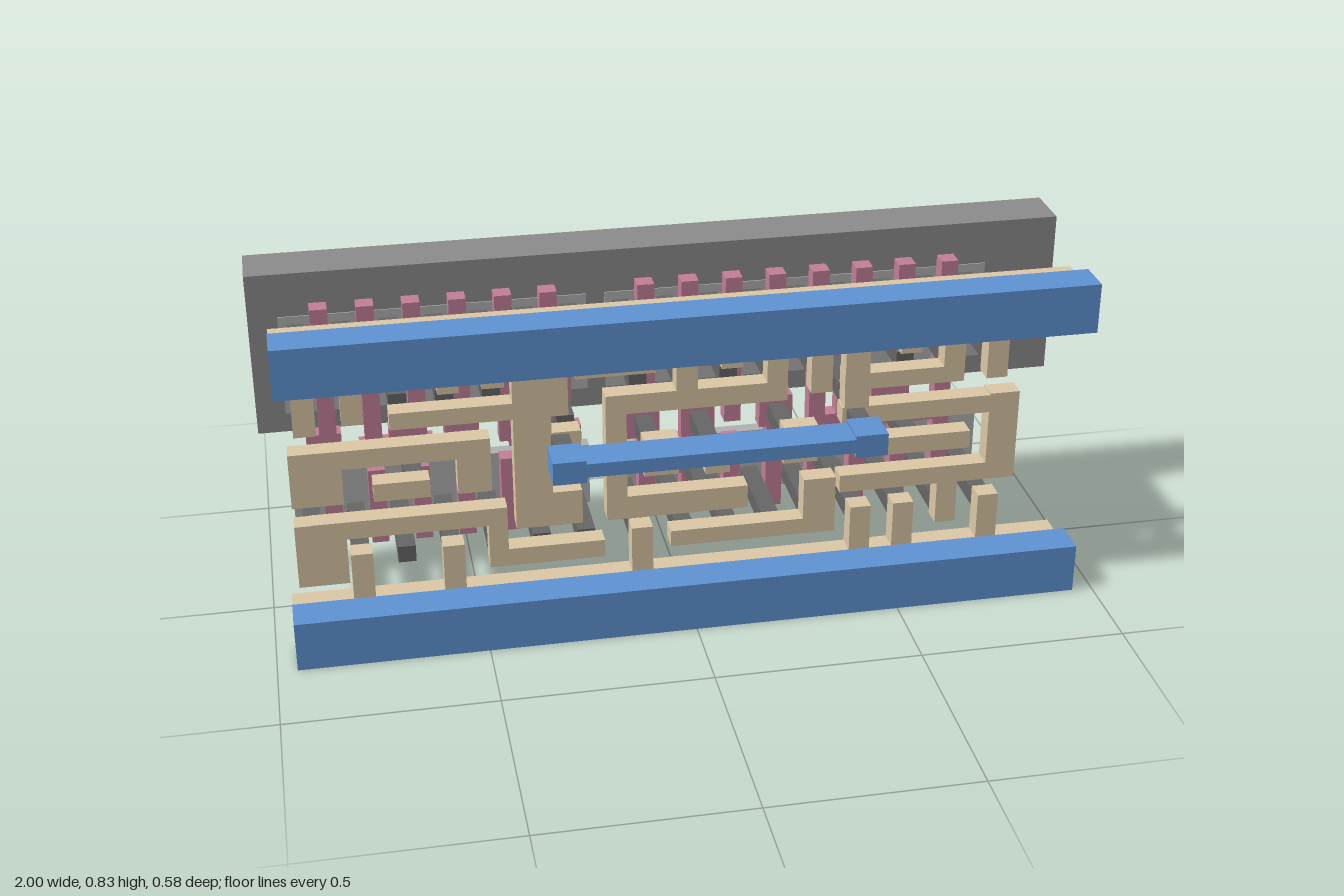
import * as THREE from 'three';

const mat = (color) => new THREE.MeshStandardMaterial({ color, flatShading: true });
const BLUE = mat(0x5f93d3), TAN = mat(0xdcc8a6), PINK = mat(0xc27f98);
const DARK = mat(0x666666), WELL = mat(0x8c8c8c), LIGHT = mat(0xb0b0b0);

const PITCH = 0.1092;
// Upright pink bars sit between neighbouring post columns, in two banks
const gateX = (i) => (i < 6 ? -0.834 + i * PITCH : -0.05 + (i - 6) * PITCH);
const columnX = (i) => (i < 7 ? -0.89 + i * PITCH : -0.105 + (i - 7) * PITCH);

export function createModel() {
  const model = new THREE.Group();

  // A named part whose bars all share one depth range
  function layer(name, material, z0, z1) {
    const group = new THREE.Group();
    group.name = name;
    model.add(group);
    const bars = [];
    const bar = (x0, x1, y0, y1) => {
      const mesh = new THREE.Mesh(new THREE.BoxGeometry(x1 - x0, y1 - y0, z1 - z0), material);
      mesh.position.set((x0 + x1) / 2, (y0 + y1) / 2, (z0 + z1) / 2);
      mesh.name = name + 'Bar';
      group.add(mesh);
      bars.push([x0, x1, y0, y1]);
    };
    const pad = (x, y, s = 0.043) => bar(x - s / 2, x + s / 2, y - s / 2, y + s / 2);
    // Right-angled track of width w: turns are alternately the next x and the next y
    const route = (w, x, y, ...turns) => turns.forEach((t, i) => {
      const nx = i % 2 ? x : t, ny = i % 2 ? t : y, h = w / 2;
      bar(Math.min(x, nx) - h, Math.max(x, nx) + h, Math.min(y, ny) - h, Math.max(y, ny) + h);
      x = nx;
      y = ny;
    });
    const covers = (px, py) => bars.some(([a, b, c, d]) => px > a && px < b && py > c && py < d);
    return { bar, pad, route, covers };
  }

  // Back slab and thin plates in front of and below it
  layer('backSlab', WELL, -0.288, -0.158).bar(-1, 1, 0.4, 0.815);
  const plates = layer('thinPlate', LIGHT, -0.19, -0.155);
  for (const [y0, y1] of [[0.125, 0.29], [0.45, 0.705]]) {
    plates.bar(-0.93, -0.19, y0, y1);
    plates.bar(-0.145, 0.82, y0, y1);
  }

  // Blue rails, the cross link and the short posts behind them
  const rails = layer('blueRail', BLUE, 0.197, 0.288);
  rails.bar(-0.953, 0.95, 0, 0.125);
  rails.bar(-0.953, 0.95, 0.705, 0.828);
  const link = layer('blueLink', BLUE, 0.197, 0.288);
  link.bar(-0.262, 0.38, 0.443, 0.478);
  const shortPosts = layer('shortPost', DARK, 0.133, 0.197);
  for (const x of [-0.3, 0.417]) {
    link.bar(x - 0.039, x + 0.039, 0.43, 0.487);
    shortPosts.pad(x, 0.459);
  }
  for (let i = 0; i < 16; i++)
    for (const y of [0.064, 0.765]) shortPosts.pad(-0.89 + i * 0.1185, y);

  // Tan rails with their stubs
  const tan = layer('tanTrack', TAN, 0.083, 0.133);
  for (const y of [0.063, 0.765]) tan.bar(-0.953, 0.95, y - 0.022, y + 0.022);
  const stubs = (columns, y0, y1) => columns.forEach((i) => tan.bar(columnX(i) - 0.026, columnX(i) + 0.026, y0, y1));
  stubs([0, 11, 15], 0.53, 0.76);
  stubs([4, 9, 13], 0.615, 0.76);
  stubs([1, 3, 7, 12, 13, 15], 0.06, 0.205);
  tan.bar(-0.26, -0.07, 0.62, 0.76);

  // Tan tracks, upper left
  tan.route(0.05, -0.78, 0.575, -0.78, 0.683, -0.557, 0.635);
  tan.route(0.042, -0.675, 0.55, -0.3, 0.68);
  tan.route(0.09, -0.365, 0.66, -0.365, 0.28, -0.295);
  tan.route(0.055, -0.365, 0.458, -0.278);
  // Tan tracks, upper right
  tan.route(0.05, -0.166, 0.27, -0.166, 0.543, 0.223, 0.68);
  stubs([8, 14], 0.53, 0.7);
  tan.route(0.042, 0.66, 0.55, 0.41);
  tan.route(0.06, 0.42, 0.67, 0.42, 0.46);
  // Tan brackets on the left, with wide feet
  tan.route(0.048, -0.91, 0.37, -0.91, 0.461, -0.49, 0.37);
  tan.route(0.12, -0.873, 0.405, -0.873, 0.425);
  tan.route(0.08, -0.505, 0.385, -0.505, 0.445);
  tan.route(0.046, -0.72, 0.367, -0.633);
  tan.route(0.046, -0.873, 0.273, -0.454, 0.158, -0.22);
  tan.route(0.12, -0.873, 0.19, -0.873, 0.235);
  // Tan hooks in the middle
  tan.route(0.06, -0.16, 0.265, 0.125);
  tan.route(0.042, -0.014, 0.166, 0.335);
  tan.route(0.08, 0.335, 0.185, 0.335, 0.255);
  for (const x of [-0.057, 0.285]) tan.route(0.085, x, 0.388, x, 0.398);
  tan.pad(0.08, 0.367, 0.06);
  // Tan bracket on the right
  tan.route(0.046, 0.408, 0.46, 0.79, 0.274, 0.408);
  tan.bar(0.755, 0.83, 0.252, 0.487);
  tan.route(0.046, 0.478, 0.367, 0.687);
  stubs([14], 0.14, 0.295);

  // Pink upright bars, some split at mid height, with cross pieces
  const pink = layer('pinkBar', PINK, -0.155, -0.111);
  for (let i = 0; i < 14; i++) {
    const spans = [1, 2, 4, 8].includes(i) ? [[0.092, 0.295], [0.345, 0.737]] : [[0.092, 0.737]];
    for (const [y0, y1] of spans) pink.bar(gateX(i) - 0.021, gateX(i) + 0.021, y0, y1);
  }
  pink.bar(0.38, 0.73, 0.3, 0.34);
  for (const x of [-0.67, -0.305]) pink.bar(x - 0.09, x + 0.09, 0.33, 0.37);

  // Long posts that end on pink pads
  const padPosts = layer('padPost', DARK, -0.111, 0.083);
  const padRows = [
    [0.363, [-0.845, -0.645, -0.51, -0.06, 0.08, 0.28, 0.48, 0.57]],
    [0.481, [-0.28, 0.42]],
    [0.252, [-0.28, 0.06, 0.39]],
  ];
  for (const [y, xs] of padRows) for (const x of xs) {
    pink.pad(x, y, 0.085);
    padPosts.pad(x, y);
  }

  // Long posts that end on the thin plates
  const platePosts = layer('platePost', DARK, -0.155, 0.083);
  for (let i = 0; i < 16; i++) {
    const x = columnX(i), high = tan.covers(x, 0.665);
    platePosts.pad(x, 0.165);
    if (high) platePosts.pad(x, 0.663);
    if (!high || tan.covers(x, 0.56)) platePosts.pad(x, 0.575);
  }

  return model;
}
